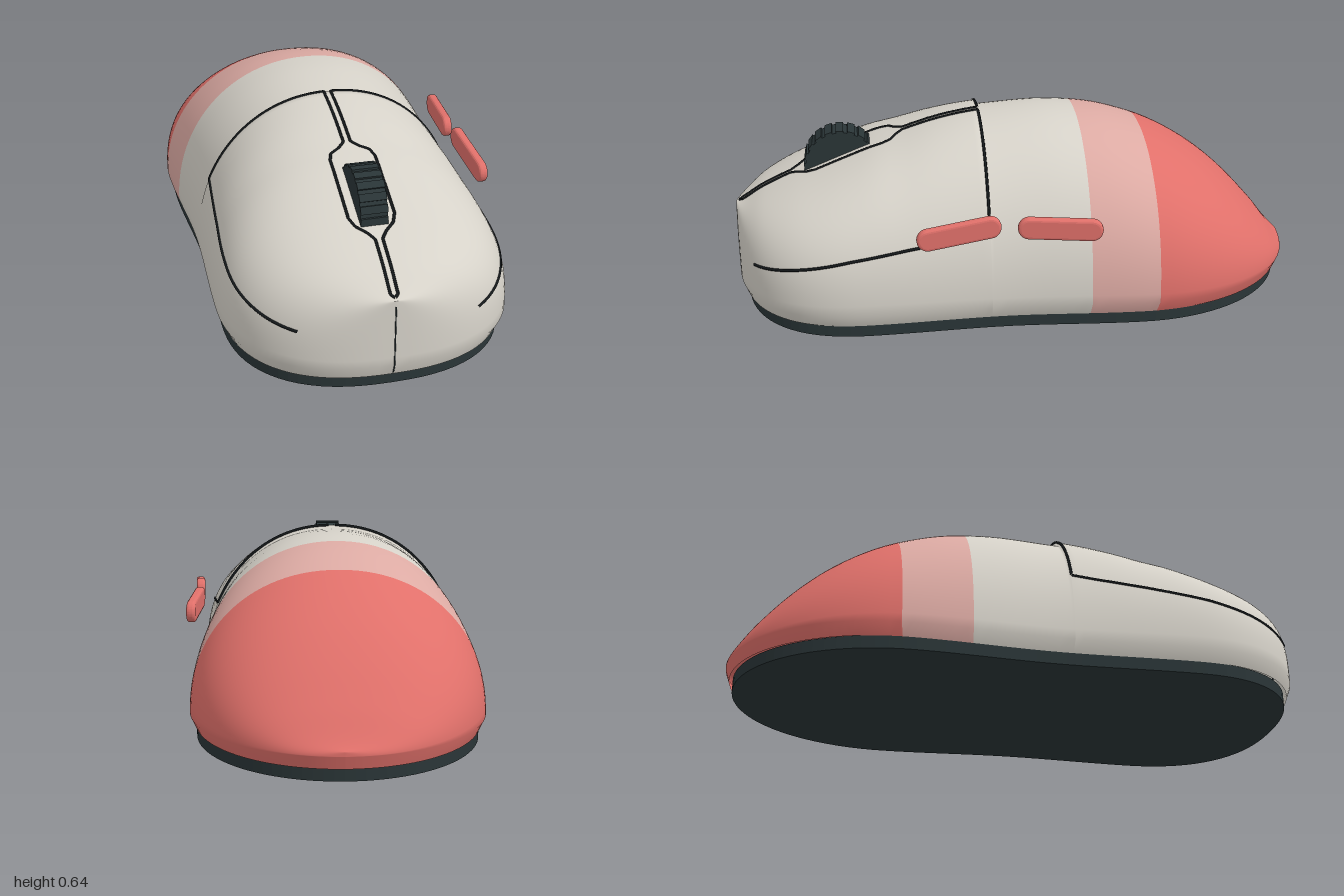
import * as THREE from 'three';

const CX = -0.008; // shell centre line
const RIM = 0.042; // height where shell meets base

// Top centre-line heights at z = -1 ... 1 in steps of 0.1
const heights = [0.1, 0.215, 0.325, 0.415, 0.485, 0.54, 0.58, 0.61, 0.626, 0.633, 0.63,
  0.622, 0.613, 0.596, 0.57, 0.543, 0.505, 0.465, 0.425, 0.378, 0.32];
const ridge = new THREE.SplineCurve(heights.map((h, i) => new THREE.Vector2(-1 + i * 0.1, h)));

// Height with the small step where the main buttons begin
function height(z) {
  const lift = z > 0.128 ? Math.max(0, 0.016 * (1 - (z - 0.128) / 0.3)) : 0;
  return ridge.getPoint(THREE.MathUtils.clamp((z + 1) / 2, 0, 1)).y + lift;
}

// Half width of the plan outline
function halfWidth(z) {
  if (z < -0.42) return 0.498 * Math.sqrt(Math.max(0, 1 - ((z + 0.42) / 0.58) ** 2));
  if (z > 0.55) return 0.485 * Math.max(0, 1 - ((z - 0.55) / 0.45) ** 2.4) ** (1 / 2.4);
  return z < 0.1
    ? THREE.MathUtils.lerp(0.498, 0.472, THREE.MathUtils.smoothstep(z, -0.42, 0.1))
    : THREE.MathUtils.lerp(0.472, 0.485, THREE.MathUtils.smoothstep(z, 0.1, 0.55));
}

const power = (z) => 2.1 + 0.6 * THREE.MathUtils.smoothstep(z, 0, 1);
const shoulder = 0.085;

// Surface lookups used for the seams
function onTop(x, z) {
  const n = power(z), r = Math.min(1, Math.abs(x) / halfWidth(z));
  return new THREE.Vector3(x, shoulder + (height(z) - shoulder) * (1 - r ** n) ** (1 / n), z);
}
function onSide(y, z) {
  const n = power(z), r = (y - shoulder) / (height(z) - shoulder);
  return new THREE.Vector3(halfWidth(z) * (1 - r ** n) ** (1 / n), y, z);
}

// Shell lofted from superelliptic sections, grouped by colour band
function shellGeometry() {
  const zs = [-0.45, -0.215, 0.127, 0.1285];
  for (let i = 0; i <= 80; i++) zs.push(-Math.cos((Math.PI * i) / 80));
  zs.sort((a, b) => a - b);
  const arc = 56, cols = arc + 3, pos = [], index = [];
  for (const z of zs) {
    const w = halfWidth(z), h = height(z), e = 2 / power(z);
    pos.push(w * 0.96, RIM, z * 0.985);
    for (let j = 0; j <= arc; j++) {
      const a = (Math.PI * j) / arc, c = Math.cos(a);
      pos.push(w * Math.sign(c) * Math.abs(c) ** e,
        shoulder + (h - shoulder) * Math.max(0, Math.sin(a)) ** e, z);
    }
    pos.push(-w * 0.96, RIM, z * 0.985);
  }
  const geo = new THREE.BufferGeometry();
  let start = 0, band = 0;
  for (let i = 0; i < zs.length - 1; i++) {
    const b = zs[i] < -0.4501 ? 0 : zs[i] < -0.2151 ? 1 : 2;
    if (b !== band) {
      geo.addGroup(start, index.length - start, band);
      start = index.length;
      band = b;
    }
    for (let j = 0; j < cols - 1; j++) {
      const p = i * cols + j, q = p + cols;
      index.push(p, p + 1, q, p + 1, q + 1, q);
    }
  }
  geo.addGroup(start, index.length - start, band);
  geo.setAttribute('position', new THREE.Float32BufferAttribute(pos, 3));
  geo.setIndex(index);
  geo.computeVertexNormals();
  return geo;
}

// Thin line following the shell through 2D points
function seamGeometry(points, project, radius = 0.005) {
  const path = [];
  points.forEach(([a, b], i) => {
    if (i === 0) return path.push(project(a, b));
    const [a0, b0] = points[i - 1];
    for (let k = 1; k <= 8; k++) path.push(project(a0 + ((a - a0) * k) / 8, b0 + ((b - b0) * k) / 8));
  });
  const curve = new THREE.CatmullRomCurve3(path, false, 'catmullrom', 0);
  return new THREE.TubeGeometry(curve, path.length * 2, radius, 6);
}

function material(name, color) {
  const m = new THREE.MeshStandardMaterial({ color });
  m.name = name;
  return m;
}

export function createModel() {
  const model = new THREE.Group();
  model.name = 'computerMouse';
  const grey = material('warm grey', 0xd6d2c9);
  const pink = material('pale pink', 0xdcaaa3);
  const coral = material('coral', 0xe0706a);
  const dark = material('dark slate', 0x2a3537);
  const black = material('seam black', 0x14181a);
  grey.side = pink.side = coral.side = THREE.DoubleSide;

  const add = (parent, name, geo, mat) => {
    const mesh = new THREE.Mesh(geo, mat);
    mesh.name = name;
    parent.add(mesh);
    return mesh;
  };

  const body = new THREE.Group();
  body.name = 'body';
  body.position.x = CX;
  model.add(body);
  add(body, 'shell', shellGeometry(), [coral, pink, grey]);

  // Base slab following the plan outline
  const outline = [];
  for (let i = 0; i < 120; i++) {
    const a = (i / 120) * Math.PI * 2, z = -Math.cos(a);
    outline.push(new THREE.Vector2(Math.sign(Math.sin(a)) * halfWidth(z) * 0.955, -z * 0.973));
  }
  const slab = new THREE.ExtrudeGeometry(new THREE.Shape(outline), { depth: 0.044, bevelEnabled: false });
  add(body, 'base', slab.rotateX(-Math.PI / 2), dark);

  // Button seams, mirrored
  const corner = onSide(0.345, 0.13).x;
  for (const s of [1, -1]) {
    const mirror = (f) => (a, b) => {
      const p = f(a, b);
      p.x *= s;
      return p;
    };
    add(body, 'channelSeam', seamGeometry([[0.012, 0.13], [0.012, 0.4], [0.035, 0.425], [0.066, 0.445],
      [0.076, 0.475], [0.076, 0.71], [0.062, 0.745], [0.03, 0.775], [0.012, 0.8], [0.012, 0.975],
      [0, 0.988]], mirror(onTop)), black);
    add(body, 'rearButtonSeam', seamGeometry([[0.012, 0.13], [0.2, 0.13], [0.36, 0.13],
      [corner, 0.13]], mirror(onTop)), black);
    add(body, 'sideButtonSeam', seamGeometry([[0.345, 0.13], [0.335, 0.2], [0.31, 0.4], [0.28, 0.6],
      [0.24, 0.8], [0.21, 0.93]], mirror(onSide)), black);
  }

  // Centre crease on the nose
  add(body, 'noseCrease', seamGeometry([[0.3, 0.999], [0.085, 0.999], [0.05, 0.988]],
    (y, z) => new THREE.Vector3(0, y, z), 0.0025), dark);

  // Scroll wheel with ribs
  const wheel = new THREE.Group();
  wheel.name = 'scrollWheel';
  wheel.position.set(CX, 0.458, 0.62);
  model.add(wheel);
  add(wheel, 'wheelCore', new THREE.CylinderGeometry(0.124, 0.124, 0.09, 32).rotateZ(Math.PI / 2), dark);
  for (let i = 0; i < 20; i++) {
    const rib = new THREE.BoxGeometry(0.09, 0.016, 0.026).translate(0, 0.122, 0);
    add(wheel, 'wheelRib', rib.rotateX((i / 20) * Math.PI * 2), dark);
  }

  // Thumb buttons: bevelled pills on the left side
  const L = 0.115, r = 0.028;
  const pill = new THREE.Shape();
  pill.absarc(L - 0.01, 0, r, -Math.PI / 2, Math.PI / 2, false);
  pill.absarc(-L + 0.01, 0, r, Math.PI / 2, Math.PI * 1.5, false);
  const pillGeo = new THREE.ExtrudeGeometry(pill, { depth: 0.012, bevelSize: 0.01,
    bevelThickness: 0.01, bevelSegments: 3, curveSegments: 10 });
  pillGeo.translate(0, 0, -0.006).rotateY(Math.PI / 2);
  for (const [name, y, z, tilt, yaw] of [['frontThumbButton', 0.385, 0.24, 0.14, 0.06],
    ['rearThumbButton', 0.383, -0.1, -0.05, -0.08]]) {
    const button = add(model, name, pillGeo, coral);
    button.position.set(0.484, y, z);
    button.rotation.set(tilt, yaw, 0);
  }
  return model;
}
